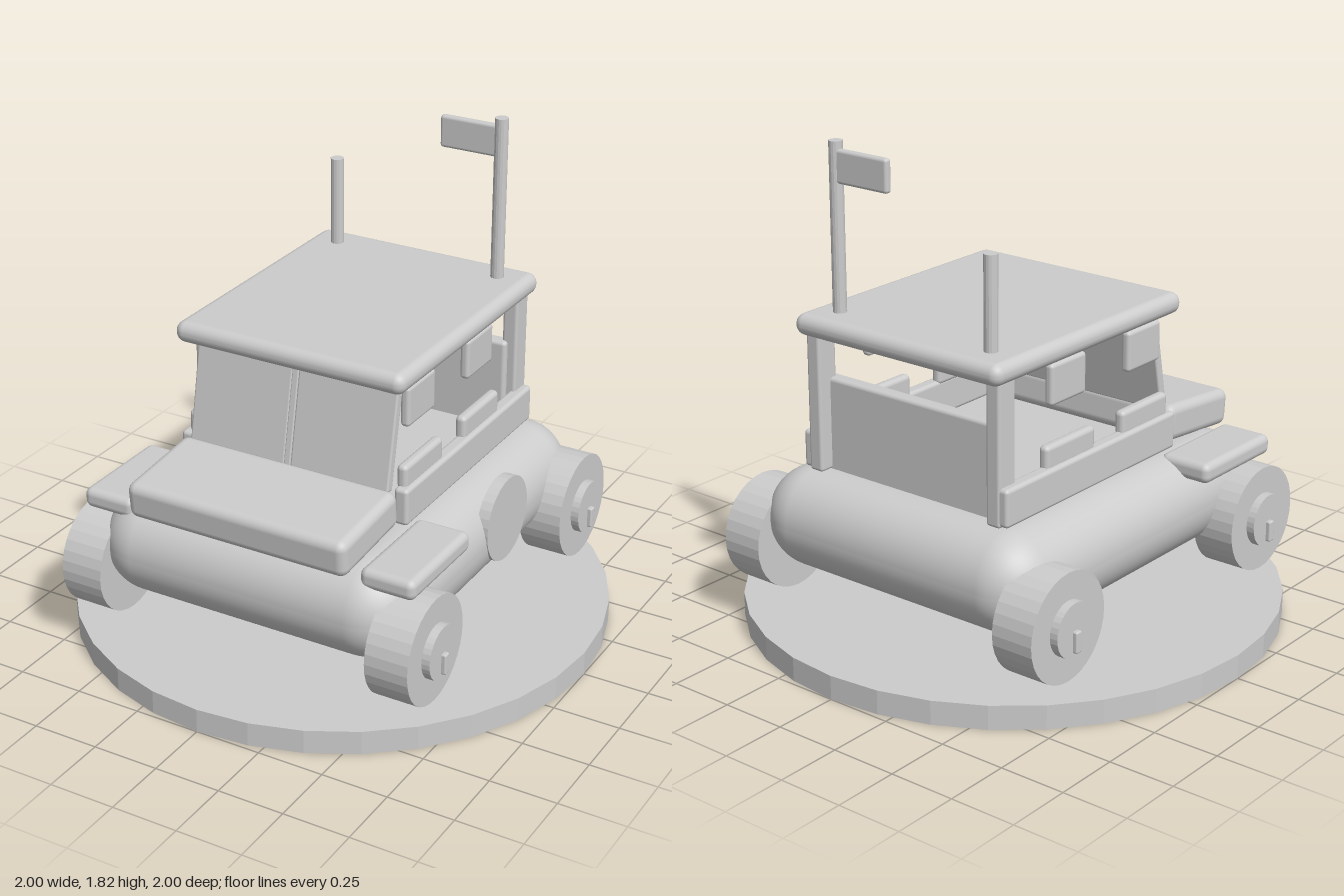
import * as THREE from 'three';
import { RoundedBoxGeometry } from 'three/addons/geometries/RoundedBoxGeometry.js';

export function createModel() {
  const model = new THREE.Group();
  model.name = 'toyBuggy';
  const grey = new THREE.MeshStandardMaterial({ color: 0xcccccc });
  grey.name = 'plain grey';

  const add = (name, geometry, parent = model) => {
    const mesh = new THREE.Mesh(geometry, grey);
    mesh.name = name;
    parent.add(mesh);
    return mesh;
  };

  // Rounded box given by its lower and upper limits on each axis
  const box = (name, [x0, x1], [y0, y1], [z0, z1], radius, segments = 3, parent = model) => {
    const mesh = add(name, new RoundedBoxGeometry(x1 - x0, y1 - y0, z1 - z0, segments, radius), parent);
    mesh.position.set((x0 + x1) / 2, (y0 + y1) / 2, (z0 + z1) / 2);
    return mesh;
  };

  // Faceted cylinder, upright or lying along x
  const cylinder = (name, radius, length, sides, alongX = false, parent = model) => {
    let geometry = new THREE.CylinderGeometry(radius, radius, length, sides);
    if (alongX) geometry.rotateZ(-Math.PI / 2);
    geometry = geometry.toNonIndexed();
    geometry.computeVertexNormals();
    return add(name, geometry, parent);
  };

  // Display base
  cylinder('base', 1, 0.09, 32).position.y = 0.045;

  // Lower body and sloping hood
  box('body', [-0.62, 0.62], [0.24, 0.62], [-0.755, 0.755], 0.185, 8);
  box('hood', [-0.44, 0.44], [0.612, 0.752], [0.365, 0.75], 0.035).rotation.x = 0.09;

  // Windscreen, leaning back: two panes and a centre bar
  const windscreen = new THREE.Group();
  windscreen.name = 'windscreen';
  windscreen.position.set(0, 0.945, 0.337);
  windscreen.rotation.x = -0.19;
  model.add(windscreen);
  for (const s of [-1, 1]) {
    box('windscreenPane', s < 0 ? [-0.405, -0.012] : [0.012, 0.405], [-0.195, 0.195], [-0.018, 0.018], 0.008, 2, windscreen);
  }
  box('windscreenBar', [-0.013, 0.013], [-0.195, 0.195], [-0.02, 0.02], 0.005, 2, windscreen);

  // Roof and rear panel
  box('roof', [-0.46, 0.46], [1.13, 1.21], [-0.66, 0.4], 0.038, 4);
  box('rearPanel', [-0.4, 0.4], [0.6, 0.965], [-0.565, -0.508], 0.015);

  // Parts repeated on both sides
  for (const s of [-1, 1]) {
    const span = (a, b) => (s > 0 ? [a, b] : [-b, -a]);
    box('sideRail', span(0.41, 0.465), [0.625, 0.765], [-0.615, 0.36], 0.015);
    box('rearPillar', span(0.375, 0.435), [0.62, 1.14], [-0.62, -0.53], 0.012);
    box('fender', span(0.46, 0.67), [0.55, 0.627], [0.27, 0.69], 0.028);

    for (const [z0, z1] of [[0.06, 0.335], [-0.375, -0.1]]) {
      box('armrest', span(0.405, 0.447), [0.75, 0.842], [z0, z1], 0.018);
    }
    for (const z0 of [0.105, -0.335]) {
      box('hangingWindow', span(0.398, 0.435), [0.973, 1.125], [z0, z0 + 0.195], 0.015);
    }

    // Wheel with hub and valve
    for (const z of [-0.59, 0.59]) {
      const wheel = new THREE.Group();
      wheel.name = z > 0 ? 'frontWheel' : 'rearWheel';
      wheel.position.set(0, 0.33, z);
      model.add(wheel);
      cylinder('tyre', 0.2, 0.165, 32, true, wheel).position.x = s * 0.6225;
      cylinder('hub', 0.1, 0.06, 32, true, wheel).position.x = s * 0.706;
      box('valve', span(0.72, 0.753), [-0.08, 0], [-0.015, 0.015], 0.007, 2, wheel);
    }
  }

  // Round plate on the left flank
  cylinder('sidePlate', 0.16, 0.045, 32, true).position.set(0.601, 0.48, -0.11);

  // Flagpole, flag and short aerial on the roof
  cylinder('flagPole', 0.025, 0.63, 16).position.set(0.342, 1.507, -0.54);
  box('flag', [0.1, 0.335], [1.673, 1.795], [-0.557, -0.527], 0.012);
  cylinder('aerial', 0.025, 0.355, 16).position.set(-0.337, 1.37, -0.54);

  return model;
}
